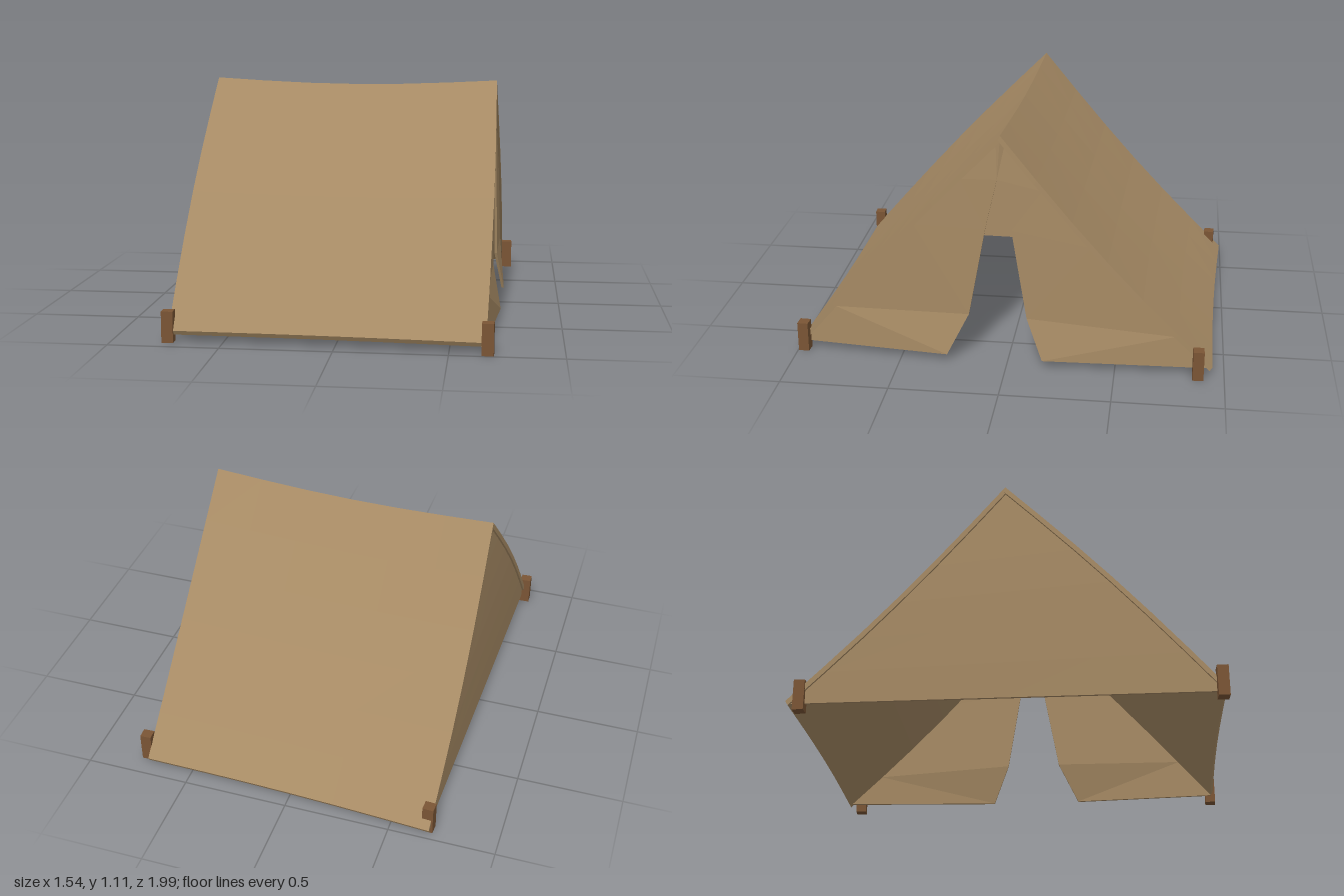
import * as THREE from 'three';

const canvas = new THREE.MeshStandardMaterial({ color: 0xa68a64, flatShading: true, side: THREE.DoubleSide });
const wood = new THREE.MeshStandardMaterial({ color: 0x7a5535, flatShading: true });
const V = (x, y, z) => new THREE.Vector3(x, y, z);
const lerp = THREE.MathUtils.lerp;

// Closed cloth panel: point(u, v) is the outer face, offset leads to the inner face
function clothPanel(name, point, nu, nv, offset) {
  const outer = (i, j) => point(i / nu, j / nv);
  const inner = (i, j) => outer(i, j).add(offset);
  const c = point(0.5, 0.5);
  const normal = point(0.6, 0.5).sub(c).cross(point(0.5, 0.6).sub(c));
  const flip = normal.dot(offset) > 0;
  const pos = [];
  const tri = (a, b, d) => (flip ? [a, d, b] : [a, b, d]).forEach(p => pos.push(p.x, p.y, p.z));
  const quad = (a, b, d, e) => { tri(a, b, d); tri(a, d, e); };
  for (let i = 0; i < nu; i++) for (let j = 0; j < nv; j++) {
    quad(outer(i, j), outer(i + 1, j), outer(i + 1, j + 1), outer(i, j + 1));
    quad(inner(i, j), inner(i, j + 1), inner(i + 1, j + 1), inner(i + 1, j));
  }
  for (let i = 0; i < nu; i++) {
    quad(outer(i, 0), inner(i, 0), inner(i + 1, 0), outer(i + 1, 0));
    quad(outer(i, nv), outer(i + 1, nv), inner(i + 1, nv), inner(i, nv));
  }
  for (let j = 0; j < nv; j++) {
    quad(outer(0, j), outer(0, j + 1), inner(0, j + 1), inner(0, j));
    quad(outer(nu, j), inner(nu, j), inner(nu, j + 1), outer(nu, j + 1));
  }
  const g = new THREE.BufferGeometry();
  g.setAttribute('position', new THREE.Float32BufferAttribute(pos, 3));
  g.computeVertexNormals();
  const mesh = new THREE.Mesh(g, canvas);
  mesh.name = name;
  return mesh;
}

// Roof slope: u runs from -x to +x, v from the sagging ridge down to the eave
const ridge = u => V(lerp(-0.705, 0.68, u), 1.107 - 0.025 * Math.sin(Math.PI * u), lerp(-0.03, 0.03, u));
const slope = (left, right, bulge) => (u, v) => {
  const eave = left.clone().lerp(right, u);
  eave.z -= Math.sign(eave.z) * 0.012 * Math.sin(Math.PI * u);
  const p = ridge(u).lerp(eave, v);
  p.y += bulge * Math.sin(Math.PI * v);
  p.x += (u - 0.5) * 0.02 * Math.sin(Math.PI * v);
  return p;
};
const frontSlope = slope(V(-0.74, 0.055, 0.935), V(0.66, 0.055, 0.985), 0.025);
const backSlope = slope(V(-0.69, 0.045, -0.995), V(0.715, 0.045, -0.945), -0.04);

// Point on a roof edge, tucked just under the cloth
function tucked(edge, u, v, side) {
  const p = edge(u, v);
  return V(p.x - (u - 0.5) * 0.02, Math.max(0.035, p.y - 0.02), p.z - side * 0.012 * v);
}

// Door edge, from the ridge down to the ground
const doorFront = [V(0.68, 1.085, 0.03), V(0.68, 0.9, 0.045), V(0.678, 0.66, 0.1), V(0.678, 0.23, 0.18), V(0.717, 0.035, 0.28)];
const doorBack = [V(0.68, 1.085, 0.03), V(0.68, 0.9, 0.045), V(0.685, 0.66, -0.02), V(0.692, 0.23, -0.09), V(0.73, 0.035, -0.165)];

// Half of the open end: u from roof edge to door edge, v down the rows
const flap = (edge, door, side) => (u, v) => {
  const d = door[Math.round(v * 4)] ?? door[4];
  const t = THREE.MathUtils.clamp((1.107 - d.y) / 1.055, 0, 1);
  return tucked(edge, 1, t, side).lerp(d, u);
};

export function createModel() {
  const tent = new THREE.Group();
  tent.name = 'tent';

  tent.add(
    clothPanel('frontRoof', frontSlope, 6, 6, V(0, -0.02, -0.012)),
    clothPanel('backRoof', backSlope, 6, 6, V(0, -0.02, 0.012)),
  );

  // Open end with a parted door
  const panel = (name, edge, door, side) => {
    const f = flap(edge, door, side);
    return clothPanel(name, f, 1, 4, V(-0.012, 0, 0));
  };
  tent.add(
    panel('frontDoorFlap', frontSlope, doorFront, 1),
    panel('backDoorFlap', backSlope, doorBack, -1),
  );

  // Closed end
  tent.add(clothPanel('endWall',
    (u, v) => tucked(frontSlope, 0, v, 1).lerp(tucked(backSlope, 0, v, -1), u),
    4, 6, V(0.012, 0, 0)));

  // Corner stakes: x, z, turn
  const stakes = [[-0.745, 0.915, 0.03], [0.668, 0.97, -0.05], [-0.675, -0.935, -0.06], [0.74, -0.88, 0.04]];
  for (const [x, z, turn] of stakes) {
    const stake = new THREE.Mesh(new THREE.BoxGeometry(0.052, 0.142, 0.05), wood);
    stake.name = 'stake';
    stake.position.set(x, 0.071, z);
    stake.rotation.y = turn;
    tent.add(stake);
  }
  return tent;
}
